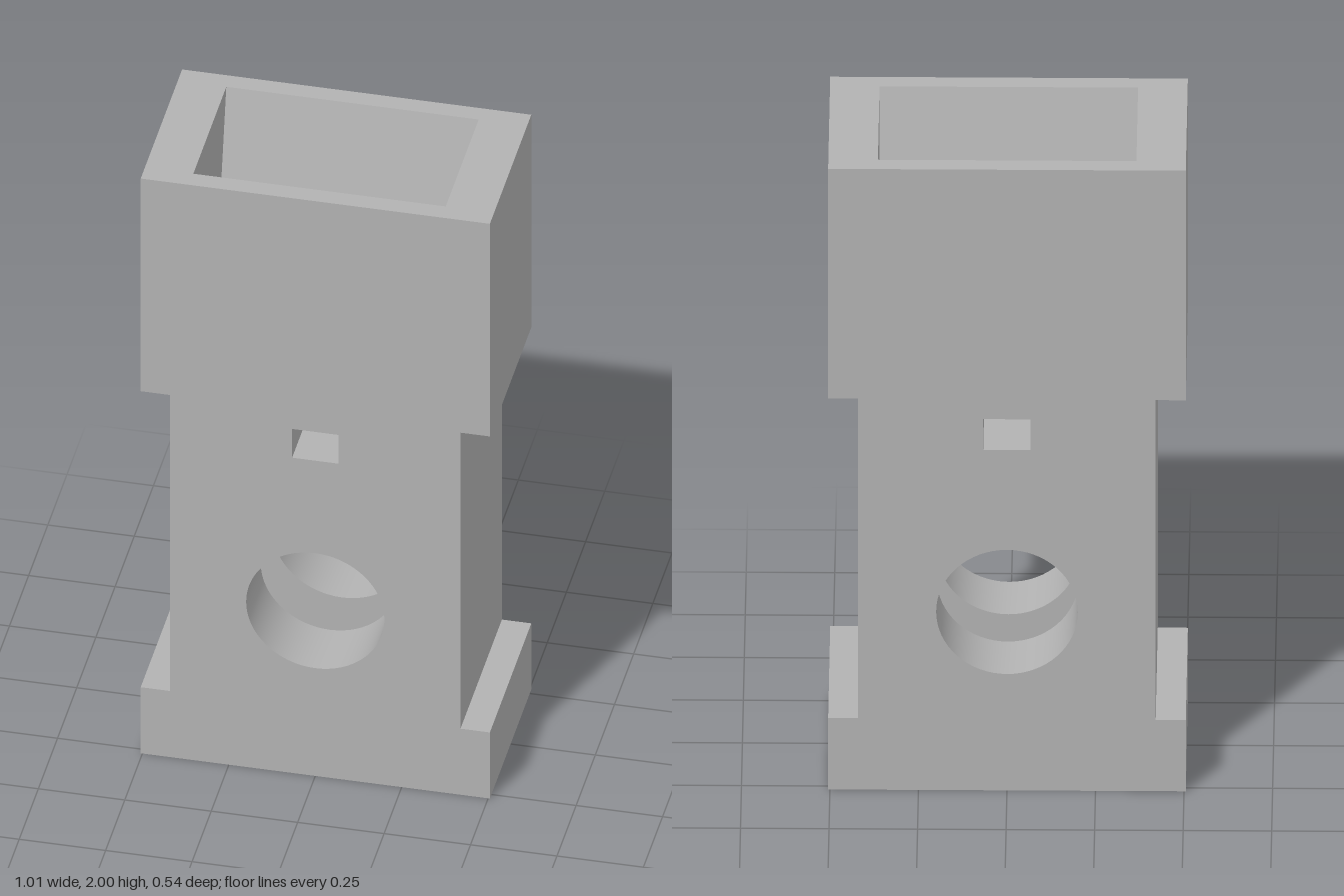
import * as THREE from 'three';

const W = 0.505, WAIST = 0.42, D = 0.27, H = 2;   // outer half width, waist, half depth, height
const SLOT_X = 0.365, SLOT_Z = 0.08, MOUTH_Z = 0.215, FUNNEL_Y = 1.42;
const POCKET_FLOOR = 0.09;

const pts = (list) => list.map(([x, y]) => new THREE.Vector2(x, y));
const rect = (x, y0, y1) => pts([[-x, y0], [x, y0], [x, y1], [-x, y1]]);

// flat face with optional holes
function face(outline, holes = []) {
  const shape = new THREE.Shape(outline);
  holes.forEach((h) => shape.holes.push(new THREE.Path(h)));
  return new THREE.ShapeGeometry(shape);
}

// wall swept along z under a path; counter-clockwise paths face outwards
function wall(path, z0, z1, closed = false, smooth = false) {
  const pos = [], idx = [], n = path.length;
  path.forEach((p) => pos.push(p.x, p.y, z0, p.x, p.y, z1));
  for (let i = 0; i < (closed ? n : n - 1); i++) {
    const a = 2 * i, b = 2 * ((i + 1) % n);
    idx.push(a, b, b + 1, a, b + 1, a + 1);
  }
  let geo = new THREE.BufferGeometry();
  geo.setAttribute('position', new THREE.Float32BufferAttribute(pos, 3));
  geo.setIndex(idx);
  if (!smooth) geo = geo.toNonIndexed();
  geo.computeVertexNormals();
  return geo;
}

export function createModel() {
  const grey = new THREE.MeshStandardMaterial({ color: 0xb2b2b2, side: THREE.DoubleSide });
  grey.name = 'plain grey';
  const model = new THREE.Group();
  model.name = 'slottedBlock';
  const half = new THREE.Group();
  half.name = 'frontHalf';
  const add = (parent, name, geo) => {
    const mesh = new THREE.Mesh(geo, grey);
    mesh.name = name;
    parent.add(mesh);
  };

  // profiles
  const side = pts([[W, 0], [W, 0.23], [WAIST, 0.23], [WAIST, 1.26], [W, 1.26], [W, H]]);
  const mirrored = side.map((p) => new THREE.Vector2(-p.x, p.y)).reverse();
  const pocket = rect(0.067, 1.097, 1.197);
  const round = [];
  for (let i = 0; i < 64; i++) {
    const a = (i / 64) * Math.PI * 2;
    round.push(new THREE.Vector2(0.2 * Math.cos(a), 0.575 + 0.2 * Math.sin(a)));
  }
  const inward = (path) => [...path].reverse();

  // outer face and the notched side
  add(half, 'outerFace', face([...side, ...mirrored], [round, pocket]).translate(0, 0, D));
  add(half, 'notchedSide', wall(side, -D, D));

  // round hole and blind square pocket
  add(half, 'roundHole', wall(inward(round), SLOT_Z, D, true, true));
  add(half, 'pocketWalls', wall(inward(pocket), POCKET_FLOOR, D, true));
  add(half, 'pocketFloor', face(pocket).translate(0, 0, POCKET_FLOOR));

  // inner slot wall, sloping funnel wall and the end of the cavity
  add(half, 'slotWall', face(rect(SLOT_X, 0, FUNNEL_Y), [round]).rotateY(Math.PI).translate(0, 0, SLOT_Z));
  const slope = new THREE.PlaneGeometry(2 * SLOT_X, Math.hypot(H - FUNNEL_Y, MOUTH_Z - SLOT_Z));
  slope.rotateY(Math.PI).rotateX(Math.atan2(MOUTH_Z - SLOT_Z, H - FUNNEL_Y));
  slope.translate(0, (H + FUNNEL_Y) / 2, (MOUTH_Z + SLOT_Z) / 2);
  add(half, 'funnelSlope', slope);
  const end = pts([[-SLOT_Z, 0], [SLOT_Z, 0], [SLOT_Z, FUNNEL_Y], [MOUTH_Z, H], [-MOUTH_Z, H], [-SLOT_Z, FUNNEL_Y]]);
  add(half, 'cavityEnd', face(end).rotateY(-Math.PI / 2).translate(SLOT_X, 0, 0));

  // the other half is the same, turned around
  const back = half.clone();
  back.name = 'backHalf';
  back.rotation.y = Math.PI;
  model.add(half, back);

  // top and bottom rims around the openings
  const plan = rect(W, -D, D);
  add(model, 'topRim', face(plan, [rect(SLOT_X, -MOUTH_Z, MOUTH_Z)]).rotateX(-Math.PI / 2).translate(0, H, 0));
  add(model, 'bottomRim', face(plan, [rect(SLOT_X, -SLOT_Z, SLOT_Z)]).rotateX(Math.PI / 2));
  return model;
}
